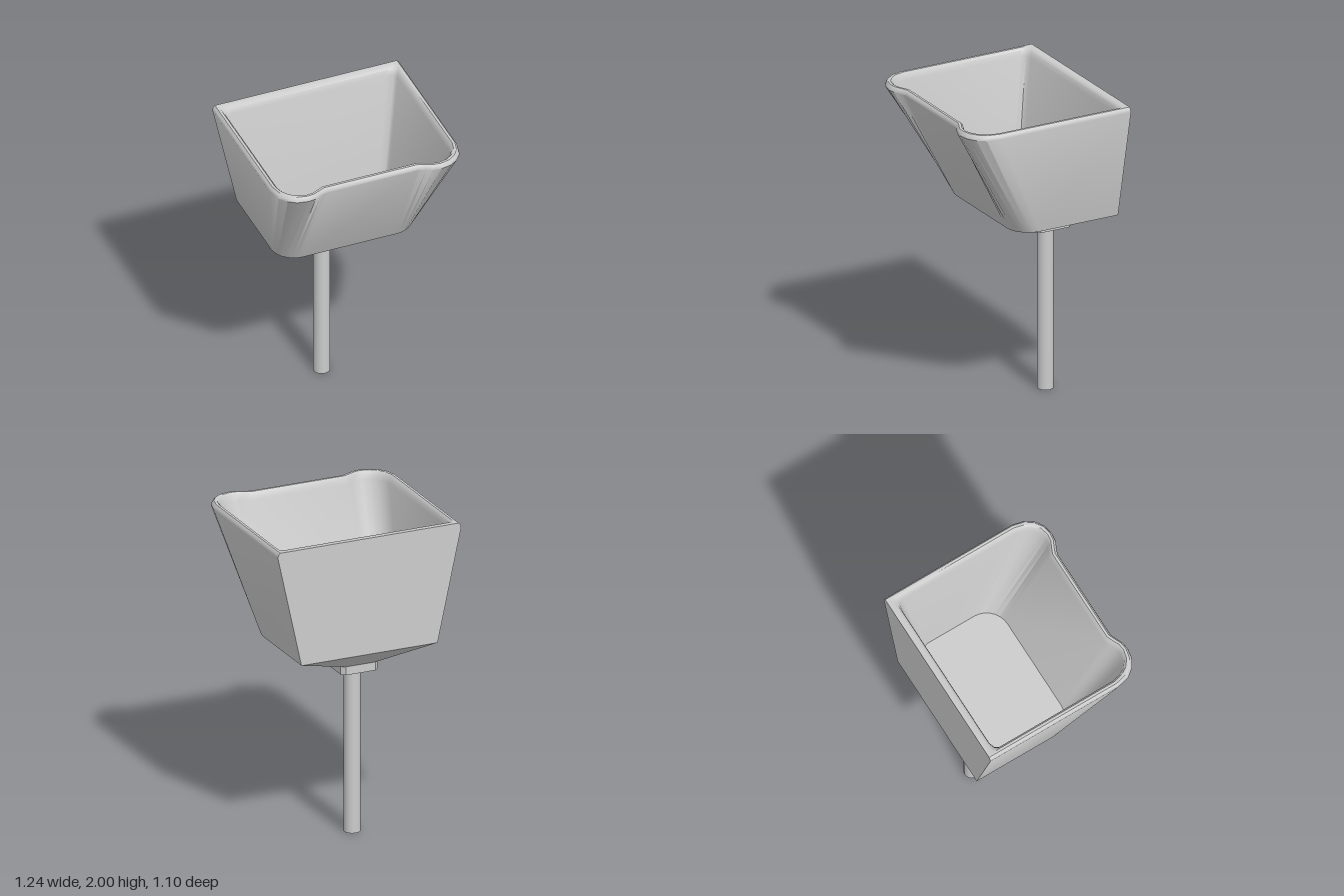
import * as THREE from 'three';
import { toCreasedNormals } from 'three/addons/utils/BufferGeometryUtils.js';

const material = new THREE.MeshStandardMaterial({ color: 0xcccccc });
const POST_Z = -0.3;

// Mirror a half outline of [x, z] (front to back on +x) into a closed ring at height y
function ring(half, y) {
  const right = half.map(([x, z]) => new THREE.Vector3(x, y, z));
  const left = half.map(([x, z]) => new THREE.Vector3(-x, y, z)).reverse();
  return [...right, ...left];
}

// Skin a series of rings, skipping collapsed triangles
function loft(name, rings, crease) {
  const pos = [];
  const tri = (a, b, c) => {
    if (new THREE.Triangle(a, b, c).getArea() > 1e-8) {
      for (const p of [a, b, c]) pos.push(p.x, p.y, p.z);
    }
  };
  for (let k = 0; k < rings.length - 1; k++) {
    const lo = rings[k], hi = rings[k + 1], n = lo.length;
    for (let i = 0; i < n; i++) {
      const j = (i + 1) % n;
      tri(lo[i], lo[j], hi[j]);
      tri(lo[i], hi[j], hi[i]);
    }
  }
  const geo = new THREE.BufferGeometry();
  geo.setAttribute('position', new THREE.Float32BufferAttribute(pos, 3));
  const mesh = new THREE.Mesh(toCreasedNormals(geo, crease), material);
  mesh.name = name;
  return mesh;
}

export function createModel() {
  const group = new THREE.Group();
  group.name = 'basinOnPost';

  // Half outlines: eight points round the front corner, three at the back corner
  const outerTop = [
    [0.31, 0.508], [0.35, 0.525], [0.39, 0.543], [0.44, 0.55], [0.51, 0.537],
    [0.56, 0.503], [0.6, 0.453], [0.62, 0.37],
    [0.62, -0.55], [0.62, -0.55], [0.62, -0.55],
  ];
  const innerTop = [
    [0.32, 0.455], [0.36, 0.472], [0.4, 0.493], [0.44, 0.498], [0.49, 0.483],
    [0.53, 0.45], [0.552, 0.41], [0.565, 0.36],
    [0.565, -0.45], [0.55, -0.475], [0.51, -0.49],
  ];
  const bottomCorner = Array.from({ length: 8 }, (_, i) => {
    const a = (i / 7) * Math.PI / 2;
    return [0.31 + 0.15 * Math.sin(a), 0.148 * Math.cos(a)];
  });
  const outerBottom = [...bottomCorner, [0.46, -0.55], [0.46, -0.55], [0.46, -0.55]];
  const innerBottom = [...bottomCorner, [0.46, -0.335], [0.45, -0.37], [0.41, -0.385]];

  // Rounded rim, with the back edge kept square against the rear plane
  const rimRing = ([t, y]) => ring(outerTop.map(([x, z], i) => {
    const [u, v] = innerTop[i];
    const square = i >= 8 && t <= 0.3;
    return [x + (u - x) * t, square ? -0.55 : z + (v - z) * t];
  }), y);
  const rim = [[0, 1.97], [0.1, 1.988], [0.3, 2], [0.6, 2], [0.85, 1.985], [1, 1.95]].map(rimRing);

  // Basin: outer wall, rim and inner wall in one skin
  const floorRing = ring(innerBottom, 1.245);
  group.add(loft('basinShell', [ring(outerBottom, 1.24), ...rim, floorRing], 0.8));

  // Basin floor
  const floorCentre = floorRing.map(() => new THREE.Vector3(0, 1.245, -0.12));
  group.add(loft('basinFloor', [floorRing, floorCentre], 0.3));

  // Square collar with chamfered corners
  const collar = Array.from({ length: 11 }, (_, i) => {
    const [x, z] = i < 4 ? [0.1, 0.125] : i < 8 ? [0.125, 0.1] : i < 10 ? [0.125, -0.1] : [0.1, -0.125];
    return [x, z + POST_Z];
  });
  const collarLow = ring(collar, 1.075), collarHigh = ring(collar, 1.13);
  const collarCentre = collarLow.map(() => new THREE.Vector3(0, 1.075, POST_Z));
  group.add(loft('collar', [collarCentre, collarLow, collarHigh], 0.3));

  // Tapered underside from collar to basin
  group.add(loft('taperedUnderside', [collarHigh, ring(outerBottom, 1.24)], 0.5));

  // Post
  const post = new THREE.Mesh(new THREE.CylinderGeometry(0.052, 0.052, 1.08, 20), material);
  post.name = 'post';
  post.position.set(0, 0.54, POST_Z);
  group.add(post);

  return group;
}
